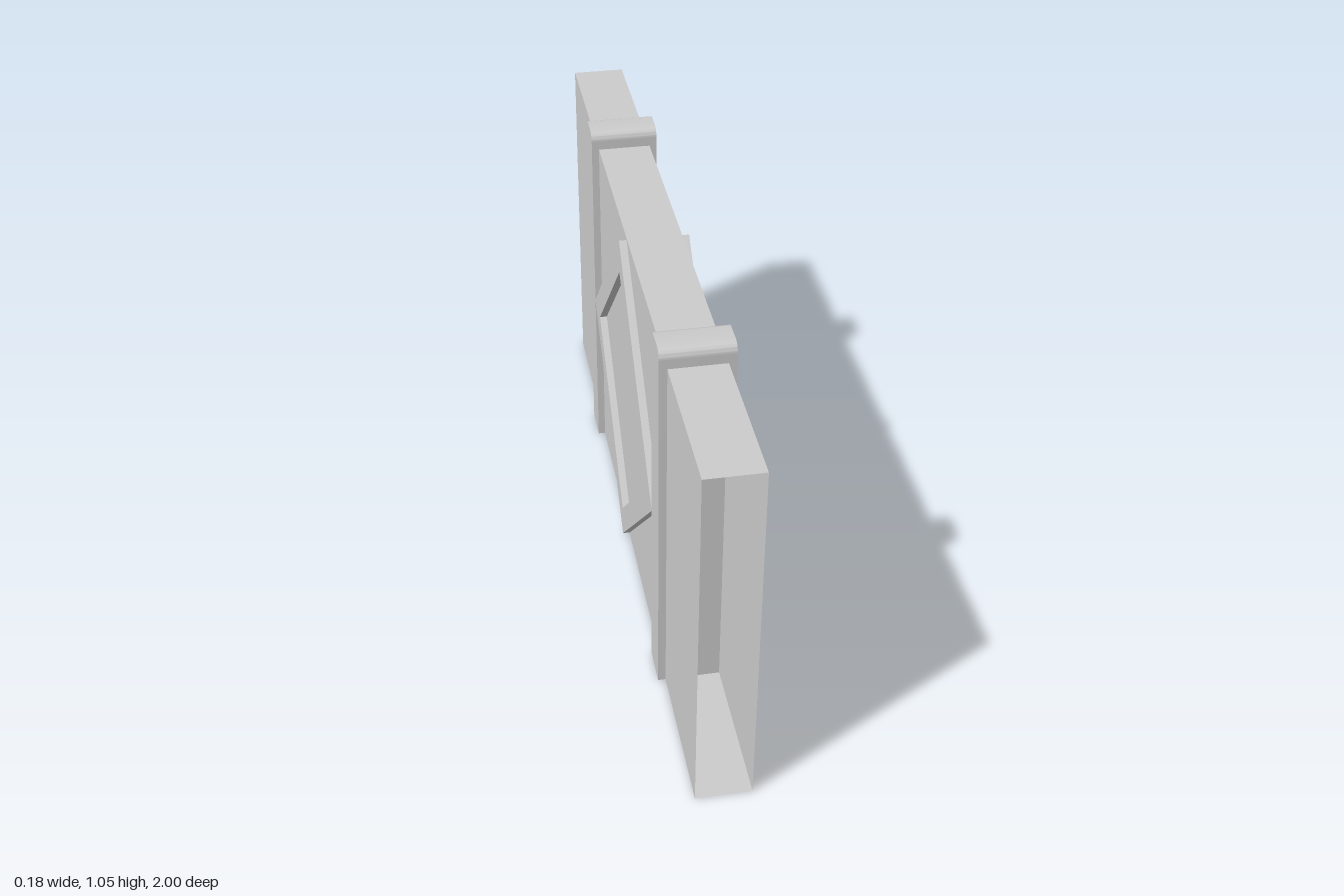
import * as THREE from 'three';
import { toCreasedNormals } from 'three/addons/utils/BufferGeometryUtils.js';

const HALF_T = 0.072;   // half thickness of the panel
const HALF_W = 0.092;   // half thickness across straps and frames
const material = new THREE.MeshStandardMaterial({ color: 0xcccccc, side: THREE.DoubleSide });

// Extrude a (z, y) profile along x, centred on x = 0
function extrudeAlongX(shape, width) {
  const geo = new THREE.ExtrudeGeometry(shape, { depth: width, bevelEnabled: false, curveSegments: 8 });
  geo.translate(0, 0, -width / 2);
  geo.rotateY(-Math.PI / 2);
  return toCreasedNormals(geo, 0.6);
}

function diamond(PathType, radius) {
  const p = new PathType();
  p.moveTo(radius, 0);
  p.lineTo(0, radius);
  p.lineTo(-radius, 0);
  p.lineTo(0, -radius);
  p.closePath();
  return p;
}

export function createModel() {
  const group = new THREE.Group();
  const add = (name, geo) => {
    const mesh = new THREE.Mesh(geo, material);
    mesh.name = name;
    group.add(mesh);
    return mesh;
  };

  // Hollow panel: a box without its two z end faces
  const panel = new THREE.BoxGeometry(HALF_T * 2, 1, 2);
  panel.setIndex(Array.from(panel.index.array.slice(0, 24)));
  panel.clearGroups();
  add('panel', panel).position.y = 0.5;

  // Straps with rounded shoulders rising just above the panel
  const w = 0.05, top = 1.05, r = 0.025;
  const strap = new THREE.Shape();
  strap.moveTo(-w, 0);
  strap.lineTo(w, 0);
  strap.lineTo(w, top - r);
  strap.absarc(w - r, top - r, r, 0, Math.PI / 2, false);
  strap.lineTo(-w + r, top);
  strap.absarc(-w + r, top - r, r, Math.PI / 2, Math.PI, false);
  strap.closePath();
  const strapGeo = extrudeAlongX(strap, HALF_W * 2);
  add('frontStrap', strapGeo).position.z = 0.543;
  add('backStrap', strapGeo).position.z = -0.543;

  // Raised diamond frames on both broad sides
  const frame = diamond(THREE.Shape, 0.495);
  frame.holes.push(diamond(THREE.Path, 0.4));
  const frameGeo = extrudeAlongX(frame, HALF_W - HALF_T);
  for (const side of [1, -1]) {
    add(side > 0 ? 'leftDiamondFrame' : 'rightDiamondFrame', frameGeo)
      .position.set(side * (HALF_W + HALF_T) / 2, 0.5, 0);
  }
  return group;
}
